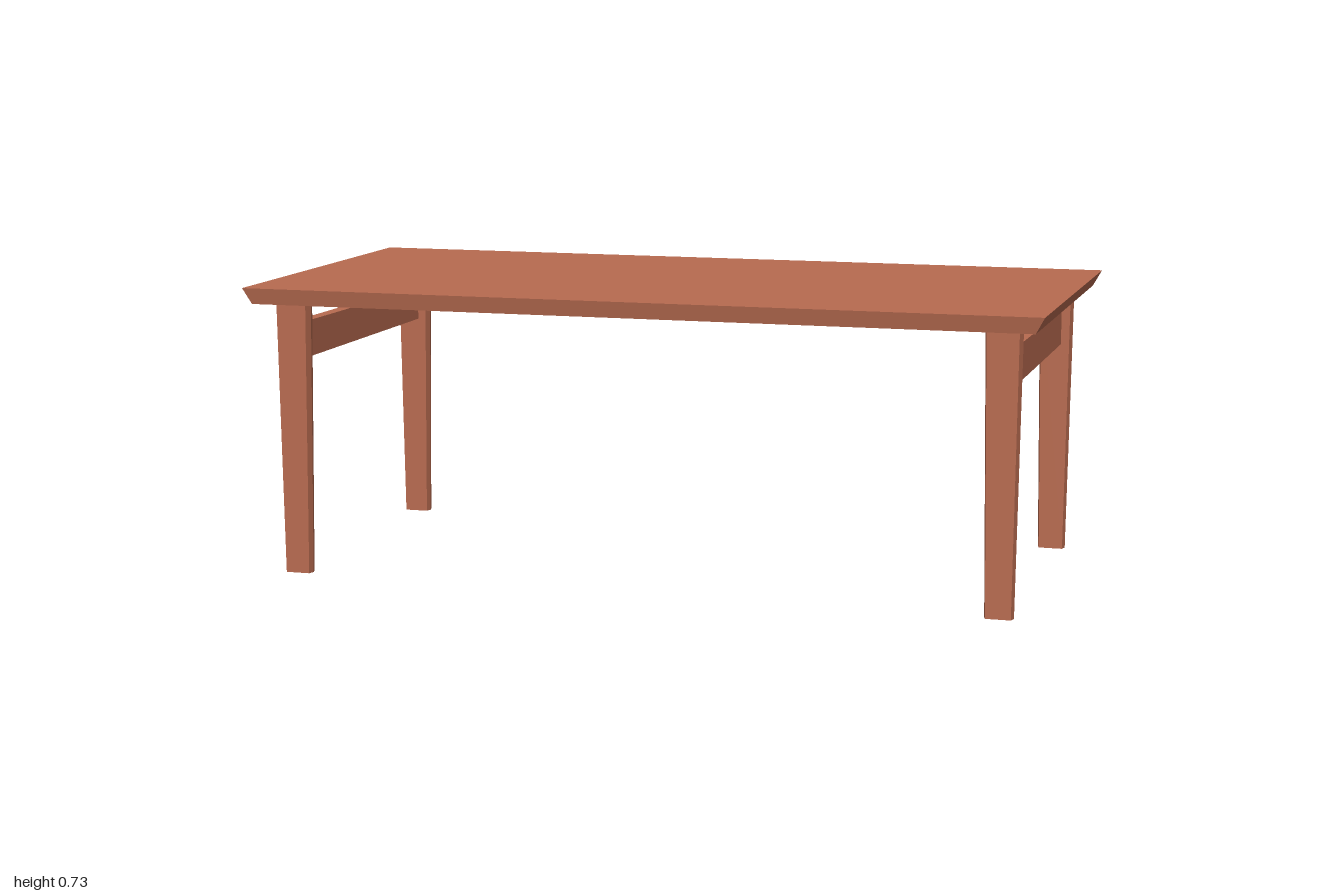
import * as THREE from 'three';

const wood = new THREE.MeshStandardMaterial({ color: 0xb86b50, flatShading: true });

// Narrow a geometry linearly from full size at the top to (fx, fz) at the bottom
function taper(geo, height, fx, fz) {
  const p = geo.attributes.position;
  for (let i = 0; i < p.count; i++) {
    const t = 0.5 - p.getY(i) / height;
    p.setX(i, p.getX(i) * (1 + (fx - 1) * t));
    p.setZ(i, p.getZ(i) * (1 + (fz - 1) * t));
  }
  geo.computeVertexNormals();
  return geo;
}

// Leg: flat front and back, softly ridged sides, tapering to the floor
function legGeometry(height) {
  const section = [[-0.045, 0], [-0.039, -0.0215], [0.039, -0.0215], [0.045, 0], [0.039, 0.0215], [-0.039, 0.0215]];
  const shape = new THREE.Shape(section.map(([x, z]) => new THREE.Vector2(x, z)));
  const geo = new THREE.ExtrudeGeometry(shape, { depth: height, bevelEnabled: false });
  geo.translate(0, 0, -height / 2).rotateX(-Math.PI / 2);
  return taper(geo, height, 0.79, 0.79);
}

// End rail: a board whose top edge dips very slightly in the middle
function railGeometry() {
  const half = 0.39, thick = 0.032;
  const shape = new THREE.Shape();
  shape.moveTo(-half, 0.545);
  shape.lineTo(half, 0.545);
  shape.lineTo(half, 0.638);
  shape.quadraticCurveTo(0, 0.632, -half, 0.638);
  const geo = new THREE.ExtrudeGeometry(shape, { depth: thick, bevelEnabled: false, curveSegments: 8 });
  return geo.translate(0, 0, -thick / 2).rotateY(Math.PI / 2);
}

export function createModel() {
  const table = new THREE.Group();
  table.name = 'table';
  const add = (name, geo, x, y, z) => {
    const mesh = new THREE.Mesh(geo, wood);
    mesh.name = name;
    mesh.position.set(x, y, z);
    table.add(mesh);
  };

  // Top with under-bevelled edges
  add('tableTop', taper(new THREE.BoxGeometry(2, 0.04, 0.972), 0.04, 0.978, 0.982), 0, 0.71, 0);

  // Legs and end rails
  const legHeight = 0.69;
  const leg = legGeometry(legHeight);
  const rail = railGeometry();
  for (const [sx, side] of [[1, 'left'], [-1, 'right']]) {
    add(side + 'Rail', rail, sx * 0.895, 0, 0);
    for (const [sz, end] of [[1, 'Front'], [-1, 'Back']]) {
      add(side + end + 'Leg', leg, sx * 0.895, legHeight / 2, sz * 0.408);
    }
  }
  return table;
}
